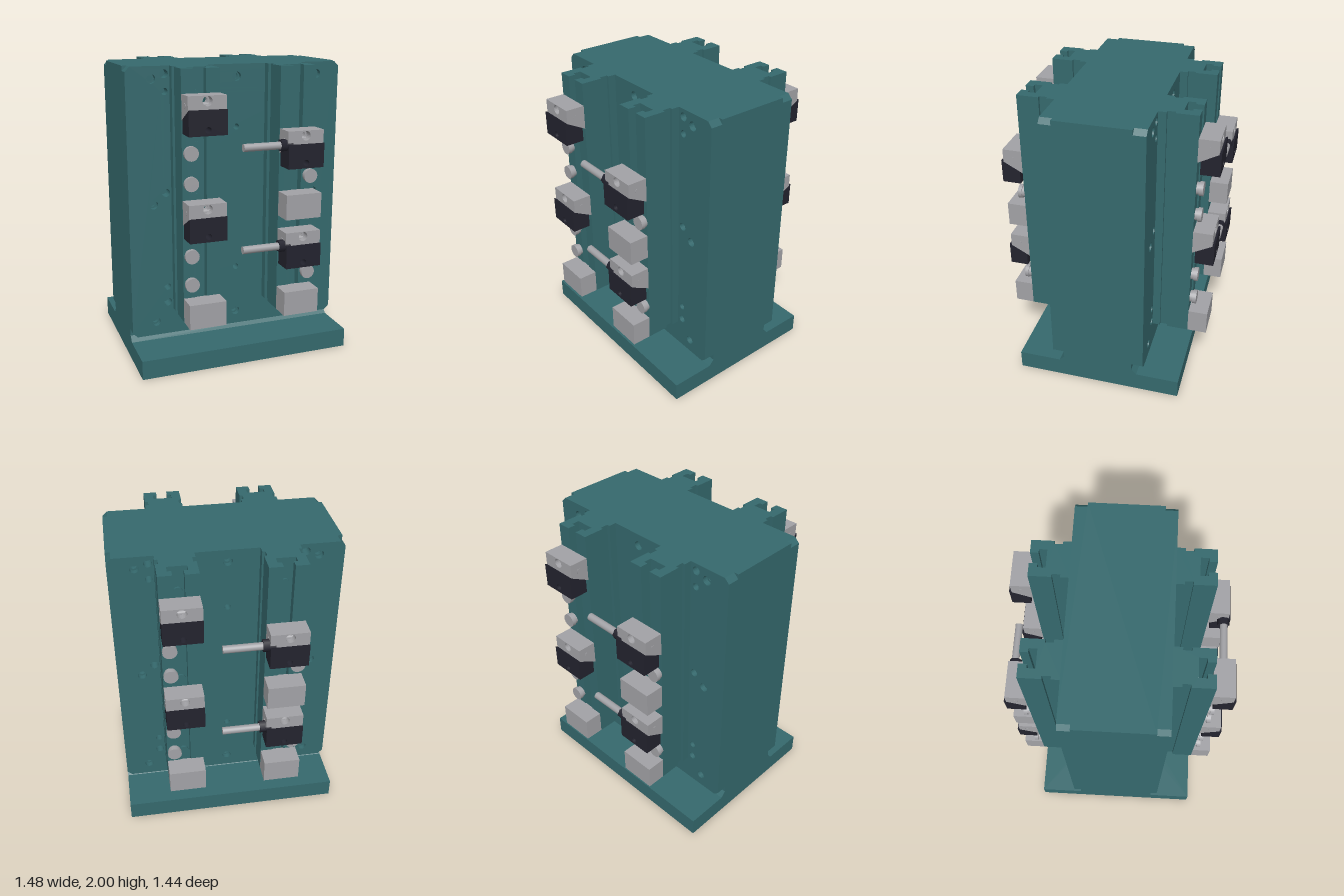
import * as THREE from 'three';

const mat = (name, color, side = THREE.FrontSide) => {
  const m = new THREE.MeshStandardMaterial({ color, side });
  m.name = name;
  return m;
};

export function createModel() {
  const teal = mat('teal', 0x35696d);
  const grey = mat('grey', 0xa2a2a6);
  const dark = mat('dark', 0x23232e);
  const model = new THREE.Group();
  model.name = 'toolingColumn';

  const add = (parent, name, geo, material, x = 0, y = 0, z = 0) => {
    const mesh = new THREE.Mesh(geo, material);
    mesh.name = name;
    mesh.position.set(x, y, z);
    parent.add(mesh);
    return mesh;
  };
  const poly = (pts) => new THREE.Shape(pts.map(([a, b]) => new THREE.Vector2(a, b)));
  const hole = (shape, x, y, r) => {
    const p = new THREE.Path();
    p.absarc(x, y, r, 0, Math.PI * 2, true);
    shape.holes.push(p);
  };
  const extrude = (shape, depth) =>
    new THREE.ExtrudeGeometry(shape, { depth, bevelEnabled: false, curveSegments: 10 });
  const rect = (x0, y0, x1, y1) => poly([[x0, y0], [x1, y0], [x1, y1], [x0, y1]]);

  // Base plate with a locating bore underneath
  const baseShape = rect(-0.74, -0.575, 0.74, 0.575);
  hole(baseShape, 0, 0, 0.07);
  add(model, 'basePlate', extrude(baseShape, 0.13).rotateX(-Math.PI / 2), teal);

  // Core of the column, flared where it meets the base
  const coreShape = poly([[-0.28, 0.13], [0.28, 0.13], [0.245, 0.168], [0.245, 2],
    [-0.245, 2], [-0.245, 0.168]]);
  add(model, 'columnCore', extrude(coreShape, 1.48).rotateY(-Math.PI / 2), teal, 0.74);

  // Face plate with chamfered corners and bolt holes
  const c = 0.032, bot = 0.185;
  const plate = poly([[-0.74 + c, bot], [0.74 - c, bot], [0.74, bot + c], [0.74, 2 - c],
    [0.74 - c, 2], [-0.74 + c, 2], [-0.74, 2 - c], [-0.74, bot + c]]);
  const bolts = [[0, 1.92], [0, 0.28]];
  for (const s of [-1, 1]) {
    for (const y of [1.92, 1.105, 0.28]) bolts.push([s * 0.575, y]);
    for (const y of [1.95, 1.18, 0.415]) hole(plate, s * 0.49, y, 0.027);
    for (const y of [1.84, 0.525]) hole(plate, s * 0.49, y, 0.023);
  }
  for (const [x, y] of bolts) hole(plate, x, y, 0.03);
  for (const y of [1.59, 0.61]) hole(plate, 0, y, 0.02);
  const plateGeo = extrude(plate, 0.08);
  const stepGeo = new THREE.RingGeometry(0.019, 0.03, 20);

  // Rail cross-section: side grooves and a T-slot in the front
  const half = [[0.124, 0.32], [0.124, 0.377], [0.104, 0.377], [0.104, 0.43], [0.124, 0.43],
    [0.124, 0.575], [0.036, 0.575], [0.036, 0.522], [0.062, 0.522], [0.062, 0.47]];
  const railShape = poly([...half, ...half.slice().reverse().map(([x, z]) => [-x, z])]);
  const railGeo = extrude(railShape, 1.635).rotateX(Math.PI / 2);

  // Slopes one horizontal edge of a block: its rear end drops
  const slope = (geo, edge, drop) => {
    const p = geo.attributes.position;
    for (let i = 0; i < p.count; i++) {
      if (p.getZ(i) < 1e-4 && Math.abs(p.getY(i) - edge) < 1e-4) p.setY(i, edge - drop);
    }
    geo.computeVertexNormals();
    return geo;
  };
  const W = 0.123;
  const upperShape = rect(-W, 0.15, W, 0.24);
  hole(upperShape, 0, 0.207, 0.031);
  const upperGeo = slope(extrude(upperShape, 0.13), 0.15, 0.07);
  const jawShape = rect(-W, 0, W, 0.158);
  hole(jawShape, 0, 0.035, 0.02);
  const jawGeo = slope(extrude(jawShape, 0.125), 0.158, 0.0675);

  const keyGeo = new THREE.BoxGeometry(0.07, 0.1, 0.03);
  const stopGeo = new THREE.BoxGeometry(2 * W, 0.165, 0.135);
  const knobGeo = new THREE.CylinderGeometry(0.047, 0.047, 0.026, 20).rotateX(Math.PI / 2);
  const neckGeo = new THREE.CylinderGeometry(0.04, 0.04, 0.024, 20).rotateX(Math.PI / 2);
  const boltGeo = new THREE.CylinderGeometry(0.03, 0.03, 0.02, 20).rotateX(Math.PI / 2);
  const portGeo = new THREE.CylinderGeometry(0.016, 0.016, 0.25, 16).rotateZ(Math.PI / 2);
  const nutGeo = new THREE.CylinderGeometry(0.04, 0.04, 0.045, 6).rotateZ(Math.PI / 2);
  const collarGeo = new THREE.CylinderGeometry(0.035, 0.035, 0.04, 16).rotateZ(Math.PI / 2);
  const rodGeo = new THREE.CylinderGeometry(0.025, 0.025, 0.25, 20).rotateZ(Math.PI / 2);

  const clamp = (parent, x, y, withRod) => {
    const g = new THREE.Group();
    g.name = 'wedgeClamp';
    g.position.set(x, y, 0);
    parent.add(g);
    add(g, 'clampBody', upperGeo, grey, 0, 0, 0.575);
    add(g, 'boltSeat', stepGeo, grey, 0, 0.207, 0.65);
    add(g, 'sidePort', portGeo, grey, 0, 0.178, 0.643);
    add(g, 'clampJaw', jawGeo, dark, 0, 0, 0.595);
    add(g, 'slotKey', keyGeo, dark, 0, 0.12, 0.58);
    if (withRod) {
      add(g, 'handleNut', nutGeo, dark, -0.142, 0.15, 0.672);
      add(g, 'handleCollar', collarGeo, dark, -0.108, 0.15, 0.674);
      add(g, 'handleRod', rodGeo, grey, -0.288, 0.15, 0.675);
    }
  };

  // One working face; the other is the same turned half way round
  const makeFace = (name) => {
    const f = new THREE.Group();
    f.name = name;
    model.add(f);
    add(f, 'facePlate', plateGeo, teal, 0, 0, 0.245);
    for (const [x, y] of bolts) add(f, 'boltStep', stepGeo, teal, x, y, 0.29);

    const xs = { left: -0.33, right: 0.324 };
    for (const x of Object.values(xs)) {
      add(f, 'slottedRail', railGeo, teal, x, 2, 0);
      for (const y of [1.83, 1.51, 1.17, 0.855, 0.53]) add(f, 'railBolt', boltGeo, teal, x, y, 0.475);
      add(f, 'stopBlock', stopGeo, grey, x, 0.4475, 0.6375);
    }
    add(f, 'stopBlock', stopGeo, grey, xs.right, 1.11, 0.6375);

    // Clamps and locating knobs repeat at two heights
    for (const dy of [0, 0.665]) {
      clamp(f, xs.left, 0.945 + dy, false);
      clamp(f, xs.right, 0.7 + dy, true);
      for (const [x, y] of [[-0.405, 0.63], [-0.405, 0.822], [0.41, 0.622]]) {
        add(f, 'knobNeck', neckGeo, grey, x, y + dy, 0.585);
        add(f, 'locatingKnob', knobGeo, grey, x, y + dy, 0.607);
      }
    }
    return f;
  };
  makeFace('frontFace');
  makeFace('backFace').rotation.y = Math.PI;
  return model;
}
